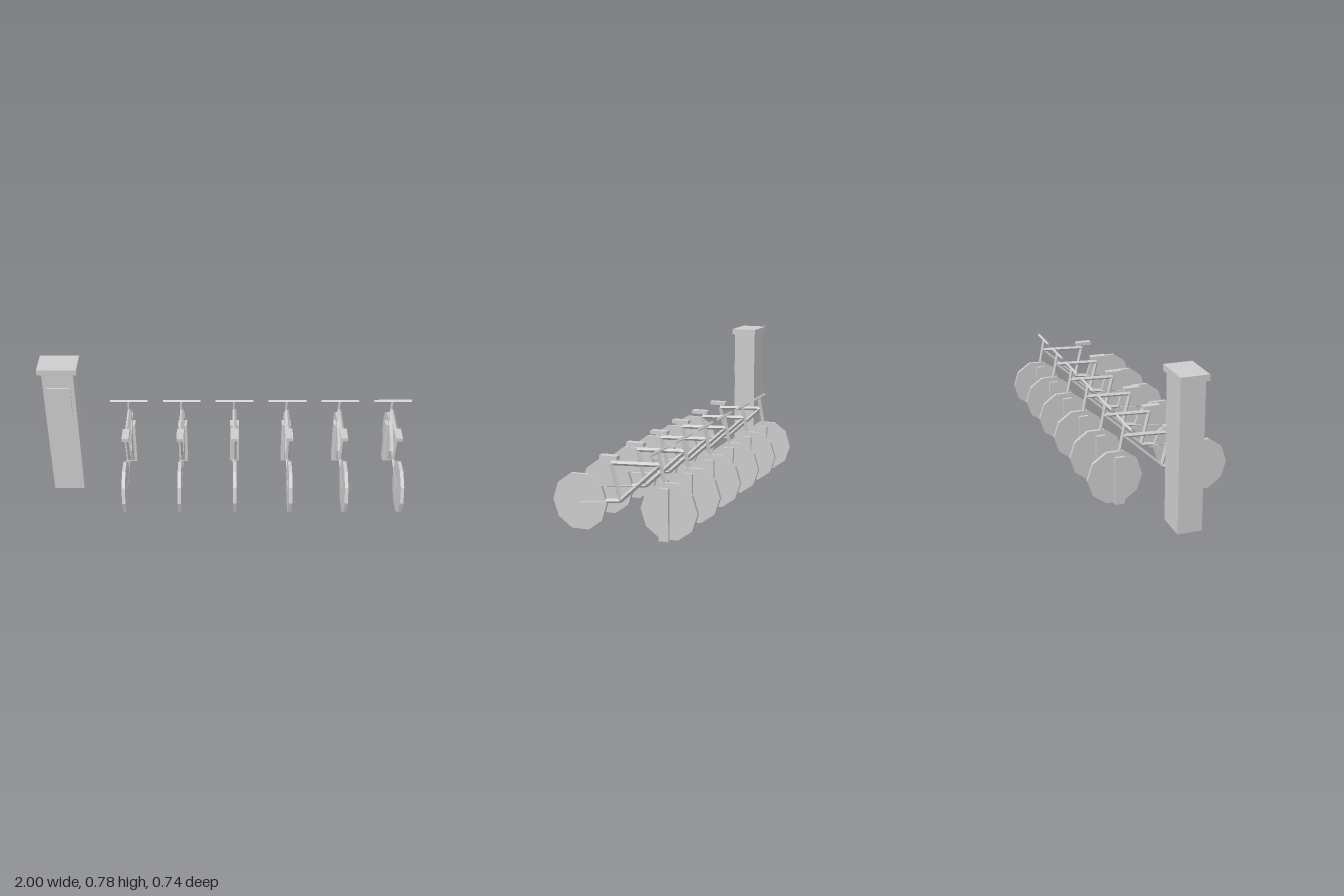
import * as THREE from 'three';

export function createModel() {
  const gray = new THREE.MeshStandardMaterial({ color: 0xcccccc, flatShading: true });
  gray.name = 'light gray';

  const add = (parent, name, geometry) => {
    const mesh = new THREE.Mesh(geometry, gray);
    mesh.name = name;
    parent.add(mesh);
    return mesh;
  };

  // Box given by its lower and upper corners
  const box = (parent, name, min, max) => {
    const [w, h, d] = max.map((v, i) => v - min[i]);
    const mesh = add(parent, name, new THREE.BoxGeometry(w, h, d));
    mesh.position.set(...max.map((v, i) => (v + min[i]) / 2));
    return mesh;
  };

  // Four-sided tube between two [x, y, z] points
  const UP = new THREE.Vector3(0, 1, 0);
  const tube = (parent, name, from, to, radius) => {
    const a = new THREE.Vector3(...from), b = new THREE.Vector3(...to);
    const dir = b.clone().sub(a);
    const mesh = add(parent, name, new THREE.CylinderGeometry(radius, radius, dir.length(), 4));
    mesh.position.copy(a).add(b).multiplyScalar(0.5);
    mesh.quaternion.setFromUnitVectors(UP, dir.normalize());
    return mesh;
  };

  // Joints of the bicycle frame
  const rearAxle = [0, 0.143, 0.229];
  const frontAxle = [0, 0.143, -0.229];
  const crank = [0, 0.165, 0.02];
  const seatJoint = [0, 0.343, 0.063];
  const headJoint = [0, 0.355, -0.187];
  const barCentre = [0, 0.42, -0.175];

  const wheelGeometry = new THREE.CylinderGeometry(0.142, 0.142, 0.018, 10).rotateZ(Math.PI / 2);

  const makeBike = () => {
    const bike = new THREE.Group();
    bike.name = 'bicycle';
    add(bike, 'rearWheel', wheelGeometry).position.set(...rearAxle);
    add(bike, 'frontWheel', wheelGeometry).position.set(...frontAxle);
    tube(bike, 'chainStay', crank, rearAxle, 0.0105);
    tube(bike, 'seatTube', crank, seatJoint, 0.011);
    tube(bike, 'topTube', seatJoint, headJoint, 0.011);
    tube(bike, 'downTube', crank, headJoint, 0.011);
    tube(bike, 'fork', barCentre, frontAxle, 0.0098);
    tube(bike, 'handlebar', [-0.104, 0.42, -0.177], [0.104, 0.42, -0.177], 0.0085);
    box(bike, 'saddle', [-0.019, 0.361, 0.027], [0.019, 0.38, 0.118]);
    return bike;
  };

  const model = new THREE.Group();
  model.name = 'bikeStation';

  // Payment kiosk
  const kiosk = new THREE.Group();
  kiosk.name = 'kiosk';
  box(kiosk, 'kioskPost', [-0.979, 0, -0.062], [-0.815, 0.753, 0.062]);
  box(kiosk, 'kioskCap', [-1, 0.753, -0.072], [-0.795, 0.784, 0.072]);
  box(kiosk, 'kioskScreen', [-0.957, 0.5, 0.06], [-0.837, 0.669, 0.071]);
  model.add(kiosk);

  // Row of docks, each holding a bicycle
  for (let i = 0; i < 6; i++) {
    const bay = new THREE.Group();
    bay.name = 'bay';
    box(bay, 'dock', [-0.025, 0, -0.233], [0.025, 0.252, -0.183]);
    bay.add(makeBike());
    bay.position.x = -0.564 + i * 0.292;
    model.add(bay);
  }
  return model;
}
